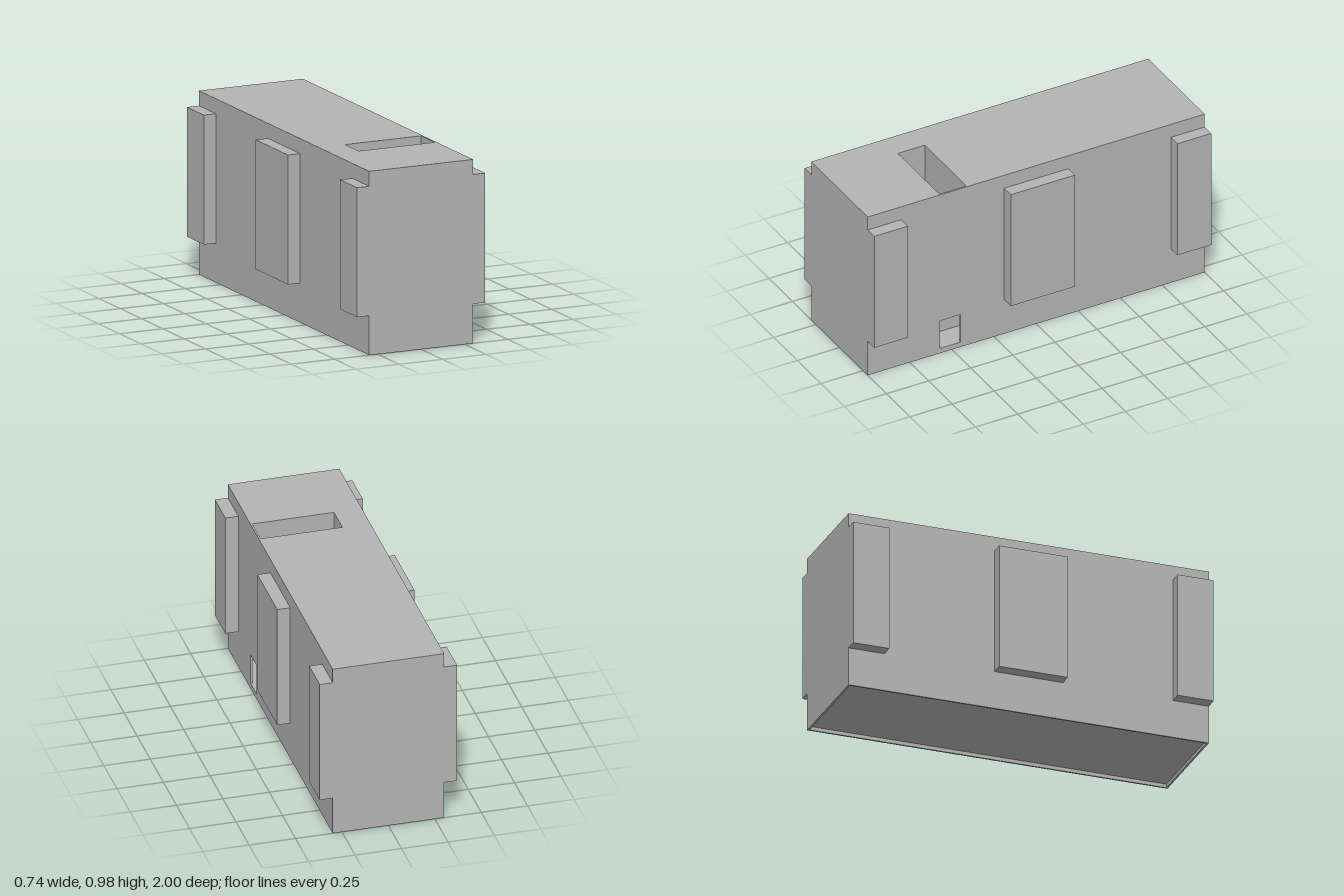
import * as THREE from 'three';

const W = 0.3, H = 0.98, L = 1, T = 0.01; // half width, height, half length, wall thickness

export function createModel() {
  const model = new THREE.Group();
  model.name = 'slottedBox';
  const grey = new THREE.MeshStandardMaterial({ color: 0xb3b3b3 });
  grey.name = 'plain grey';

  const add = (name, geometry) => {
    const mesh = new THREE.Mesh(geometry, grey);
    mesh.name = name;
    model.add(mesh);
  };

  // Box given by its minimum and maximum on each axis
  const box = (x0, x1, y0, y1, z0, z1) =>
    new THREE.BoxGeometry(x1 - x0, y1 - y0, z1 - z0)
      .translate((x0 + x1) / 2, (y0 + y1) / 2, (z0 + z1) / 2);

  const rectangle = (Type, a0, a1, b0, b1) => {
    const p = new Type();
    p.moveTo(a0, b0).lineTo(a1, b0).lineTo(a1, b1).lineTo(a0, b1).closePath();
    return p;
  };

  // Flat plate with one rectangular opening
  const plate = (outer, hole) => {
    const shape = rectangle(THREE.Shape, ...outer);
    shape.holes.push(rectangle(THREE.Path, ...hole));
    return new THREE.ExtrudeGeometry(shape, { depth: T, bevelEnabled: false });
  };

  // Inward-facing box with one face left open (0 = +x, 2 = +y)
  const cavity = (openFace, ...bounds) => {
    const g = box(...bounds);
    const kept = Array.from(g.index.array).filter((_, i) => Math.floor(i / 6) !== openFace);
    g.setIndex(kept.reverse());
    g.clearGroups();
    g.computeVertexNormals();
    return g;
  };

  // Lid with a slot across it
  add('lid', plate([-W, W, -L, L], [-0.15, 0.29, -0.57, -0.41])
    .rotateX(-Math.PI / 2).translate(0, H - T, 0));
  add('slotWell', cavity(2, -0.15, 0.29, 0.21, H - T, 0.41, 0.57));

  // Left wall with a small outlet near the floor
  add('leftWall', plate([-L, L, 0, H - T], [-0.57, -0.45, 0.03, 0.2])
    .rotateY(Math.PI / 2).translate(W - T, 0, 0));
  add('outletChamber', cavity(0, 0.16, W - T, 0.03, 0.2, 0.2, 0.8));

  // Remaining walls and the slightly recessed floor
  add('rightWall', box(-W, -W + T, 0, H - T, -L, L));
  add('frontWall', box(-W + T, W - T, 0, H - T, L - T, L));
  add('backWall', box(-W + T, W - T, 0, H - T, -L, -L + T));
  add('floor', box(-W + T, W - T, 0.02, 0.03, -L + T, L - T));

  // Three raised panels along each side
  for (const [name, z0, z1] of [['front', 0.8, L], ['middle', -0.19, 0.19], ['back', -L, -0.8]]) {
    add(name + 'LeftPanel', box(W, 0.37, 0.21, 0.9, z0, z1));
    add(name + 'RightPanel', box(-0.37, -W, 0.21, 0.9, z0, z1));
  }
  return model;
}
